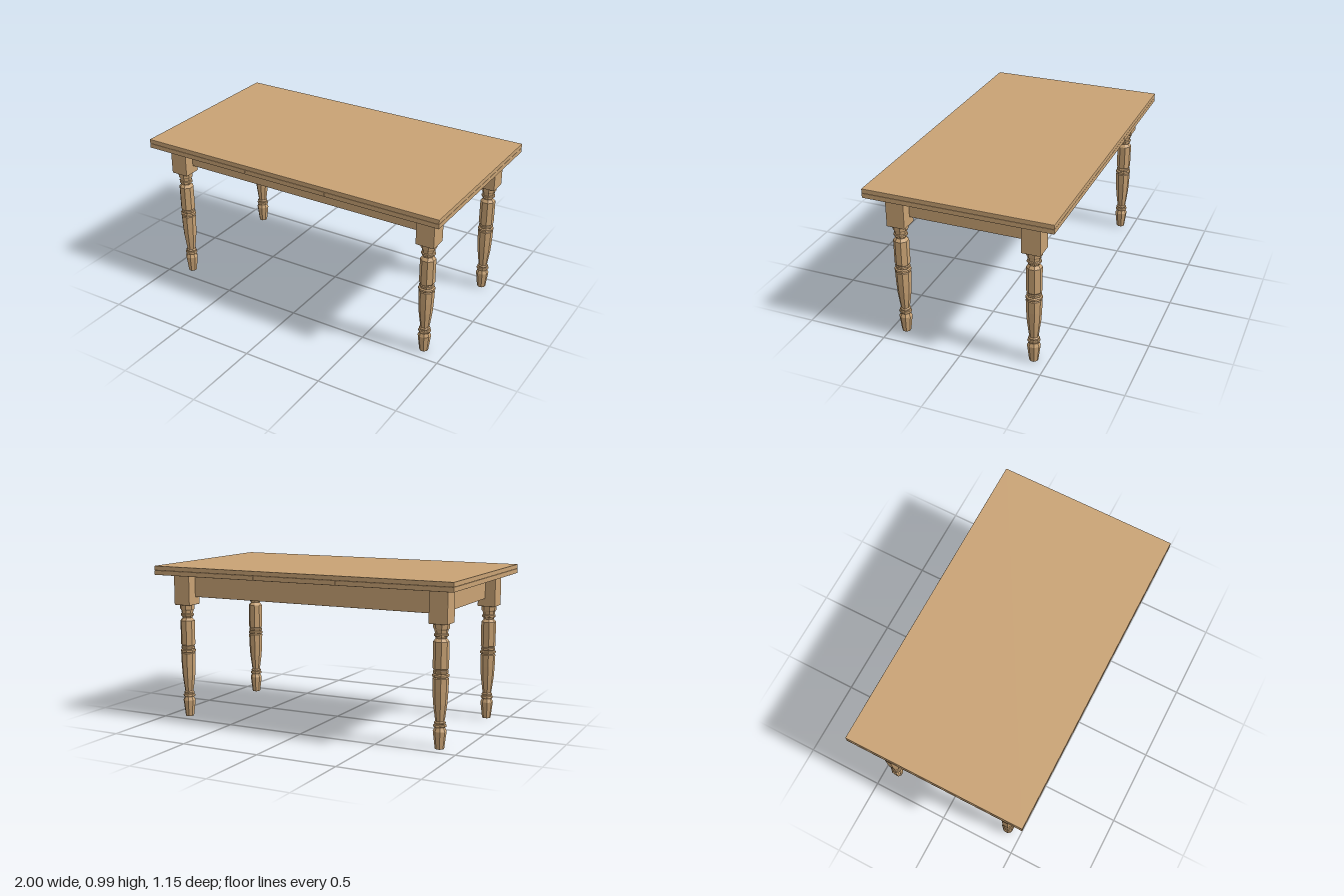
import * as THREE from 'three';
import { RoundedBoxGeometry } from 'three/addons/geometries/RoundedBoxGeometry.js';

export function createModel() {
  const table = new THREE.Group();
  table.name = 'diningTable';
  const wood = new THREE.MeshStandardMaterial({ color: 0xc8a274, flatShading: true });
  wood.name = 'oakWood';

  const add = (parent, name, geometry, x = 0, y = 0, z = 0) => {
    const mesh = new THREE.Mesh(geometry, wood);
    mesh.name = name;
    mesh.position.set(x, y, z);
    parent.add(mesh);
  };
  // Box with slightly eased edges
  const board = (w, h, d, bevel = 0.003) => new RoundedBoxGeometry(w, h, d, 1, bevel);

  // Top: one full board above three leaves
  add(table, 'topBoard', board(2, 0.028, 1.146), 0, 0.971, 0);
  const seam = 0.275;
  add(table, 'middleLeaf', board(2 * seam, 0.029, 1.146), 0, 0.9425, 0);
  for (const s of [-1, 1]) {
    add(table, s > 0 ? 'leftLeaf' : 'rightLeaf',
      board(1 - seam, 0.029, 1.146), s * (1 + seam) / 2, 0.9425, 0);
  }

  // Apron rails, set back from the outer faces of the leg blocks
  const legX = 0.87, legZ = 0.4125, block = 0.115, rail = 0.05;
  const inset = block / 2 - rail / 2;
  for (const s of [-1, 1]) {
    add(table, s > 0 ? 'frontApron' : 'backApron',
      board(2 * legX - block, 0.147, rail), 0, 0.8535, s * (legZ - inset));
    add(table, s > 0 ? 'leftApron' : 'rightApron',
      board(rail, 0.147, 2 * legZ - block), s * (legX - inset), 0.8535, 0);
  }

  // Turned leg profile: half width across flats, height
  const profile = [
    [0, 0], [0.025, 0], [0.037, 0.105], [0.027, 0.128],
    [0.034, 0.13], [0.036, 0.137], [0.034, 0.144], [0.028, 0.147],
    [0.031, 0.152], [0.031, 0.158], [0.025, 0.165],
    [0.031, 0.21], [0.038, 0.27], [0.042, 0.34], [0.044, 0.415], [0.038, 0.42],
    [0.046, 0.424], [0.046, 0.437], [0.038, 0.442],
    [0.041, 0.446], [0.041, 0.458], [0.037, 0.463], [0.043, 0.472],
    [0.043, 0.627], [0.029, 0.645], [0.034, 0.656],
    [0.039, 0.659], [0.039, 0.67], [0.034, 0.674],
    [0.036, 0.692], [0.043, 0.702], [0.045, 0.735], [0, 0.735],
  ].map(([r, y]) => new THREE.Vector2(r / Math.cos(Math.PI / 8), y));
  const turning = new THREE.LatheGeometry(profile, 8, Math.PI / 8);
  const blockGeometry = board(block, 0.197, block, 0.004);

  // Four legs, each a square block over an eight-sided turning
  for (const sx of [-1, 1]) for (const sz of [-1, 1]) {
    const leg = new THREE.Group();
    leg.name = (sz > 0 ? 'front' : 'back') + (sx > 0 ? 'Left' : 'Right') + 'Leg';
    leg.position.set(sx * legX, 0, sz * legZ);
    add(leg, 'legBlock', blockGeometry, 0, 0.8285, 0);
    add(leg, 'turnedLeg', turning);
    table.add(leg);
  }
  return table;
}
